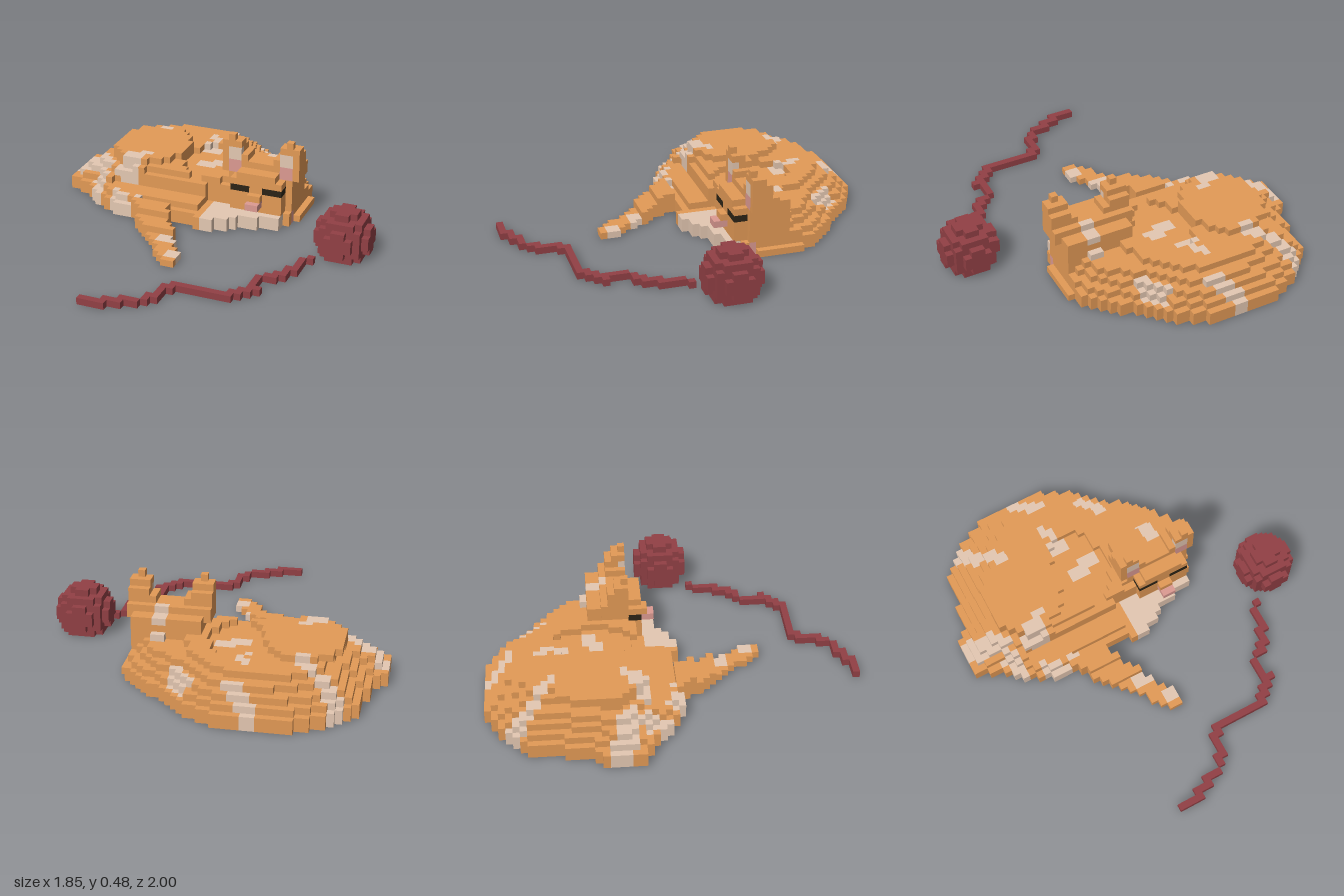
import * as THREE from 'three';

const S = 2 / 54; // edge of one cube
const mat = (name, color) => {
  const m = new THREE.MeshStandardMaterial({ color });
  m.name = name;
  return m;
};

// distance from a point to a segment
function segDist(x, z, [ax, az, bx, bz]) {
  const dx = bx - ax, dz = bz - az;
  const t = Math.min(1, Math.max(0, ((x - ax) * dx + (z - az) * dz) / (dx * dx + dz * dz || 1)));
  return Math.hypot(x - ax - t * dx, z - az - t * dz);
}

// signed depth inside a polygon (negative outside)
function depthInside(x, z, poly) {
  let inside = false, d = Infinity;
  poly.forEach(([ax, az], n) => {
    const [bx, bz] = poly[(n + 1) % poly.length];
    if ((az > z) !== (bz > z) && x < ((bx - ax) * (z - az)) / (bz - az) + ax) inside = !inside;
    d = Math.min(d, segDist(x, z, [ax, az, bx, bz]));
  });
  return inside ? d : -d;
}

const inEllipse = (x, z, cx, cz, rx, rz) => Math.hypot((x - cx) / rx, (z - cz) / rz) < 1;

// outline of the curled body on the floor (x, z)
const OUTLINE = [
  [-0.46, -1], [-0.13, -1], [0.03, -0.91], [0.15, -0.78], [0.26, -0.71], [0.4, -0.59], [0.43, -0.5],
  [0.43, -0.26], [0.36, -0.13], [0.16, -0.06], [0.04, 0.03], [-0.07, 0.03], [-0.08, 0], [-0.3, 0], [-0.5, 0.03],
  [-0.6, 0], [-0.67, -0.04], [-0.78, -0.14], [-0.93, -0.21], [-0.93, -0.37], [-0.87, -0.44],
  [-0.83, -0.6], [-0.81, -0.78], [-0.7, -0.89], [-0.6, -0.945],
];
const INSET = [0, 0, 0.035, 0.075, 0.115, 0.185]; // how far each layer steps in

// pale fur streaks: segment and radius
const STREAKS = [
  [-0.7, -0.85, -0.66, -0.77, 0.05], [-0.66, -0.77, -0.51, -0.66, 0.035], [-0.31, -0.98, -0.2, -0.88, 0.04],
  [0.05, -0.8, 0.11, -0.72, 0.04], [-0.24, -0.73, -0.21, -0.65, 0.025], [-0.23, -0.59, -0.18, -0.6, 0.04],
  [-0.2, -0.4, -0.07, -0.46, 0.04], [0.25, -0.45, 0.25, -0.38, 0.04], [-0.92, -0.31, -0.78, -0.27, 0.06],
  [-0.6, -0.19, -0.47, -0.28, 0.035], [-0.72, -0.17, -0.69, -0.09, 0.04],
  [-0.44, 0.03, -0.4, -0.01, 0.04],
];
// pale bands that run up the front walls (x range)
const BANDS = [[-0.74, -0.66], [-0.6, -0.48]];

// loose yarn path (x, z)
const STRAND = [
  [0.65, 0.17], [0.61, 0.2], [0.61, 0.31], [0.57, 0.35], [0.54, 0.41], [0.5, 0.43], [0.46, 0.46],
  [0.46, 0.54], [0.5, 0.575], [0.46, 0.61], [0.41, 0.65], [0.35, 0.685], [0.13, 0.685], [0.09, 0.72],
  [0.055, 0.76], [0.055, 0.8], [0.02, 0.83], [0.02, 0.87], [-0.02, 0.907], [-0.09, 0.907], [-0.13, 0.945],
  [-0.17, 0.98], [-0.28, 0.98],
];

// whether the body fills layer j at a spot of the given depth
function bodyFills(x, z, j, d) {
  if (d < INSET[j] || (j > 0 && x > 0.407)) return false;
  if (j > 1 && x > -0.06 && z > -0.19) return false;
  if (j > 2 && x > -0.62 && z > -0.16) return false; // low shelf along the front
  if (j === 4) return inEllipse(x, z, -0.25, -0.45, 0.57, 0.44);
  if (j === 5) return inEllipse(x, z, -0.33, -0.45, 0.43, 0.39) && !inEllipse(x, z, -0.15, -0.42, 0.14, 0.22);
  return true;
}

export function createModel() {
  const fur = mat('orange fur', 0xe39a56), pale = mat('pale fur', 0xe4c8b2);
  const pink = mat('pink skin', 0xdc9a92), dark = mat('closed eyes', 0x2c2416), wool = mat('red wool', 0x924045);
  const cells = new Map();
  const put = (part, material, i, j, k) => cells.set(`${i},${j},${k}`, { part, material, p: [i, j, k] });
  const box = (part, material, i0, i1, j0, j1, k0, k1) => {
    for (let i = i0; i <= i1; i++)
      for (let j = j0; j <= j1; j++)
        for (let k = k0; k <= k1; k++) put(part, material, i, j, k);
  };

  // curled body, haunch, front paw and tail
  for (let i = 0; i < 50; i++) {
    for (let k = 0; k < 54; k++) {
      const x = (i - 24.5) * S, z = (k - 26.5) * S;
      const d = depthInside(x, z, OUTLINE);
      const dFront = depthInside(x, z + S, OUTLINE);
      const banded = z > -0.3 && BANDS.some(([a, b]) => x > a && x < b);
      const coat = STREAKS.some((s) => segDist(x, z, s) < s[4]) ? pale : fur;
      const paw = x > -0.04 && z > -0.19;
      let height = 0;
      while (height < INSET.length && bodyFills(x, z, height, d)) height++;
      // streaks stay on the coat surface, the belly is plain
      for (let j = 0; j < height; j++) {
        const surface = j === height - 1 || d < INSET[j] + 0.05;
        const wall = banded && !bodyFills(x, z + S, j, dFront);
        if (paw) put('frontPaw', j > 0 || x < 0.15 || d < 0.04 ? pale : fur, i, j, k);
        else put('body', wall ? pale : surface ? coat : fur, i, j, k);
      }
      if (inEllipse(x, z, -0.51, -0.43, 0.209, 0.245)) put('haunch', z > -0.24 && banded ? pale : coat, i, 6, k);

      const t = Math.max(0, z / 0.47);
      const near = segDist(x, z, [-0.34, 0.02, -0.03, 0.45]);
      if (z > 0 && near < 0.09 - 0.05 * t) {
        const tailCoat = (z > 0.22 && z < 0.28 && x > -0.2) || (z > 0.36 && z < 0.44 && x > -0.08) ? pale : fur;
        const tailHeight = z < 0.11 ? 3 : z < 0.22 ? 2 : 1;
        for (let j = 0; j < tailHeight; j++) put('tail', tailCoat, i, j, k);
      }
    }
  }

  // head with stepped forehead and back
  box('head', fur, 26, 35, 0, 7, 15, 16);
  box('head', fur, 26, 35, 0, 8, 17, 20);
  box('head', fur, 27, 34, 2, 6, 21, 22);
  box('head', fur, 28, 33, 7, 7, 21, 22);
  box('chin', pale, 27, 34, 1, 1, 21, 23);
  box('pawPad', pink, 35, 35, 0, 1, 20, 20);
  box('crownPatch', pale, 31, 32, 8, 8, 17, 17);
  box('crownPatch', pale, 31, 32, 7, 7, 15, 16);
  box('napePatch', pale, 31, 32, 5, 5, 14, 14);
  box('muzzle', fur, 30, 31, 4, 4, 23, 23);
  box('nose', pink, 30, 31, 3, 3, 23, 24);
  for (const i of [27, 32]) box('eye', dark, i, i + 2, 5, 5, 21, 22);

  // mirrored ears, lower toward the back
  const earTop = [12, 13, 12, 10], earCap = [13, 12, 11, 9];
  for (const side of [-1, 1]) {
    earTop.forEach((top, c) => {
      const i = side < 0 ? 25 + c : 36 - c;
      earCap.forEach((cap, b) => box('ear', fur, i, i, 7, Math.min(top, cap) - 1, 20 - b, 20 - b));
      if (c === 1 || c === 2) {
        box('innerEar', pink, i, i, 7, 8, 20, 20);
        box('innerEar', pale, i, i, 9, 10, 20, 20);
      }
    });
  }

  // yarn ball
  for (let i = 42; i < 50; i++)
    for (let j = 0; j < 7; j++)
      for (let k = 23; k < 31; k++)
        if ((i - 45.5) ** 2 + (j - 2.5) ** 2 + (k - 26.5) ** 2 < 16) put('yarnBall', wool, i, j, k);

  // yarn strand along the floor
  STRAND.slice(1).forEach(([bx, bz], n) => {
    const [ax, az] = STRAND[n];
    for (let t = 0; t <= 1; t += 0.05)
      put('yarnStrand', wool, Math.floor((ax + (bx - ax) * t) / S + 25), 0, Math.floor((az + (bz - az) * t) / S + 27));
  });

  // collect the exposed cube faces for each part and colour
  const buckets = new Map();
  for (const { part, material, p } of cells.values()) {
    const key = part + material.name;
    if (!buckets.has(key)) buckets.set(key, { part, material, pos: [] });
    const { pos } = buckets.get(key);
    for (let a = 0; a < 3; a++) {
      for (const sign of [0, 1]) {
        const next = [...p];
        next[a] += sign ? 1 : -1;
        if (cells.has(next.join())) continue;
        const corners = [[0, 0], [1, 0], [1, 1], [0, 1]].map(([u, v]) => {
          const c = [...p];
          c[a] += sign;
          c[(a + 1) % 3] += u;
          c[(a + 2) % 3] += v;
          return [(c[0] - 25) * S, c[1] * S, (c[2] - 27) * S];
        });
        if (!sign) corners.reverse();
        for (const n of [0, 1, 2, 0, 2, 3]) pos.push(...corners[n]);
      }
    }
  }

  const model = new THREE.Group();
  model.name = 'sleepingCatWithYarn';
  for (const { part, material, pos } of buckets.values()) {
    if (!pos.length) continue;
    const geometry = new THREE.BufferGeometry();
    geometry.setAttribute('position', new THREE.Float32BufferAttribute(pos, 3));
    geometry.computeVertexNormals();
    const mesh = new THREE.Mesh(geometry, material);
    mesh.name = part;
    model.add(mesh);
  }
  return model;
}
